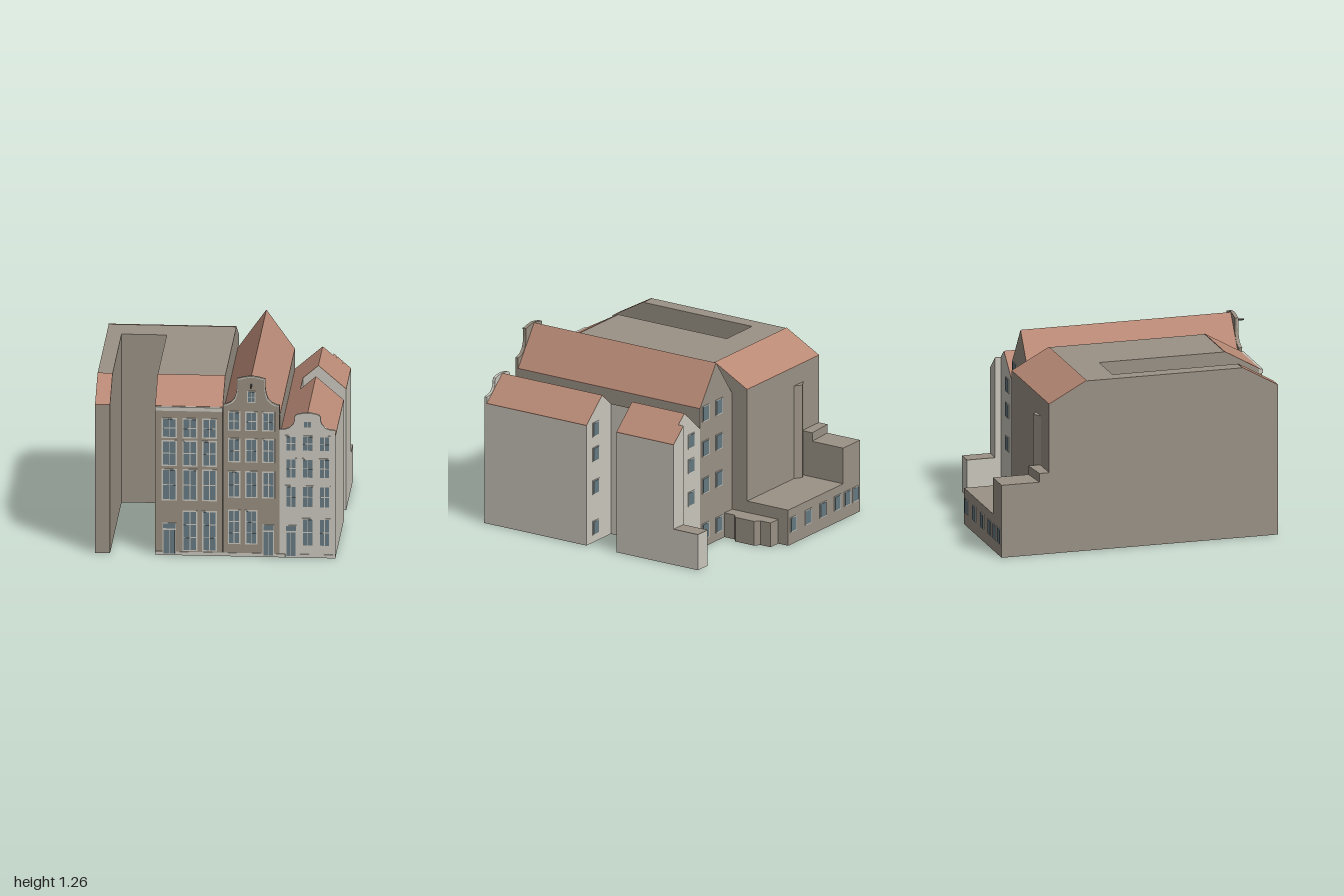
import * as THREE from 'three';

const mat = (name, color) => Object.assign(new THREE.MeshStandardMaterial({ color }), { name });

export function createModel() {
  const taupe = mat('taupe wall', 0x9b9286);
  const brick = mat('warm brick facade', 0x998e7f);
  const beige = mat('pale plaster', 0xcac7bc);
  const tile = mat('terracotta tile', 0xb98a76);
  const glass = mat('blue grey glass', 0x667982);
  const iron = mat('dark iron', 0x4a4a48);

  const model = new THREE.Group();
  model.name = 'canalHouses';
  let parent = model;
  const group = (name) => {
    parent = new THREE.Group();
    parent.name = name;
    model.add(parent);
  };
  const add = (name, geometry, material) => {
    const mesh = new THREE.Mesh(geometry, material);
    mesh.name = name;
    parent.add(mesh);
  };
  const box = (name, m, x0, x1, y0, y1, z0, z1) => {
    const g = new THREE.BoxGeometry(x1 - x0, y1 - y0, z1 - z0);
    add(name, g.translate((x0 + x1) / 2, (y0 + y1) / 2, (z0 + z1) / 2), m);
  };
  const extrude = (pts, depth) => new THREE.ExtrudeGeometry(
    new THREE.Shape(pts.map(([a, b]) => new THREE.Vector2(a, b))), { depth, bevelEnabled: false });
  // Profiles swept along each axis: (x,y) along z, (z,y) along x, (x,z) along y
  const alongZ = (name, m, pts, z0, z1) => add(name, extrude(pts, z1 - z0).translate(0, 0, z0), m);
  const alongX = (name, m, pts, x0, x1) =>
    add(name, extrude(pts.map(([z, y]) => [-z, y]), x1 - x0).rotateY(Math.PI / 2).translate(x0, 0, 0), m);
  const alongY = (name, m, pts, y0, y1) =>
    add(name, extrude(pts.map(([x, z]) => [x, -z]), y1 - y0).rotateX(-Math.PI / 2).translate(0, y0, 0), m);
  // Thin tile layer over a sloping line a-b
  const slope = (a, b, t = 0.004) => [a, b, [b[0], b[1] + t], [a[0], a[1] + t]];

  // Window: thin frame plate with a grid of panes; dir is the facing along z
  const windowAt = (x, y0, y1, w, z, dir = 1, cols = 2, rows = 2, border = 0.009, bar = 0.006) => {
    const plate = (name, m, xa, xb, ya, yb, d0, d1) =>
      box(name, m, xa, xb, ya, yb, Math.min(z + dir * d0, z + dir * d1), Math.max(z + dir * d0, z + dir * d1));
    plate('windowFrame', beige, x - w / 2, x + w / 2, y0, y1, -0.002, 0.004);
    const pw = (w - 2 * border - (cols - 1) * bar) / cols;
    const ph = (y1 - y0 - 2 * border - (rows - 1) * bar) / rows;
    for (let i = 0; i < cols; i++) for (let j = 0; j < rows; j++) {
      const xa = x - w / 2 + border + i * (pw + bar), ya = y0 + border + j * (ph + bar);
      plate('windowPane', glass, xa, xa + pw, ya, ya + ph, 0, 0.006);
    }
  };
  const door = (x, w, z) => {
    box('doorFrame', beige, x - w / 2, x + w / 2, 0, 0.225, z - 0.002, z + 0.006);
    box('fanlight', glass, x - w / 2 + 0.004, x + w / 2 - 0.004, 0.187, 0.22, z, z + 0.008);
    for (const s of [-1, 1]) {
      const c = x + s * w * 0.22;
      box('doorPanel', glass, c - w * 0.19, c + w * 0.19, 0.012, 0.175, z, z + 0.008);
    }
  };
  const mirror = (half, cx) => [
    ...half.map(([d, y]) => [cx + d, y]),
    ...half.filter(([d]) => d > 0).reverse().map(([d, y]) => [cx - d, y])];

  const F = 0.93; // facade plane

  // Large flat-topped house with a slot open to the front
  group('largeHouse');
  const fullSide = [[-0.67, 0], [0.92, 0], [0.92, 1.03], [0.67, 1.172], [-0.41, 1.172], [-0.67, 1.03]];
  alongX('sideWing', taupe, fullSide, -0.8, -0.7);
  alongX('rearBlock', taupe, [[-0.67, 0], [-0.2, 0], [-0.2, 1.172], [-0.41, 1.172], [-0.67, 1.03]], -0.7, -0.4);
  alongX('mainBlock', taupe, fullSide, -0.4, 0.05);
  alongX('rearRoof', tile, slope([-0.67, 1.03], [-0.41, 1.172]), -0.8, 0.05);
  for (const [a, b] of [[-0.8, -0.7], [-0.4, 0.05]])
    alongX('frontRoof', tile, slope([0.67, 1.172], [0.92, 1.03]), a, b);
  box('facade', brick, -0.4, 0.05, 0, 1.005, 0.915, F);
  box('cornice', beige, -0.4, 0.05, 1.005, 1.032, 0.91, F + 0.008);
  for (const x of [-0.305, -0.168, -0.037]) {
    windowAt(x, 0.815, 0.955, 0.1, F);
    windowAt(x, 0.62, 0.8, 0.1, F);
    windowAt(x, 0.38, 0.6, 0.1, F, 1, 2, 2);
    if (x > -0.3) windowAt(x, 0.03, 0.312, 0.1, F, 1, 2, 3);
  }
  door(-0.305, 0.09, F);

  // Low rear annexes, pilaster and bay
  group('rearAnnex');
  box('lowAnnex', taupe, -0.6, 0.05, 0, 0.25, -1, -0.67);
  box('cornerAnnex', taupe, -0.8, -0.6, 0, 0.5, -1, -0.67);
  alongY('annexStep', taupe, [[-0.8, -0.67], [-0.8, -0.737], [-0.6, -0.752], [-0.6, -0.67]], 0.5, 0.56);
  alongY('pilaster', taupe, [[-0.615, -0.67], [-0.553, -0.705], [-0.505, -0.67]], 0.25, 0.9);
  alongY('bay', taupe, [[0.05, -0.92], [0.14, -0.92], [0.14, -0.84], [0.175, -0.81],
    [0.175, -0.66], [0.14, -0.63], [0.14, -0.55], [0.05, -0.55]], 0, 0.17);
  for (const x of [-0.745, -0.648, -0.53, -0.36, -0.185, -0.01])
    windowAt(x, 0.085, 0.19, 0.075, -1, -1, 1, 1, 0.006);

  // Middle house with the bell gable
  group('middleHouse');
  alongZ('body', taupe, [[0.05, 0], [0.43, 0], [0.43, 0.98], [0.24, 1.248], [0.05, 0.98]], -0.55, 0.915);
  alongZ('roofRight', tile, slope([0.05, 0.98], [0.24, 1.248]), -0.55, 0.915);
  alongZ('roofLeft', tile, slope([0.24, 1.248], [0.43, 0.98]), -0.55, 0.915);
  const bell = [[0.188, 1.056], [0.165, 1.06], [0.135, 1.075], [0.112, 1.1], [0.099, 1.14],
    [0.094, 1.18], [0.094, 1.237], [0.05, 1.249], [0, 1.256]];
  alongZ('bellGable', brick, mirror([[0.188, 0], ...bell], 0.241), 0.91, F);
  const inner = bell.map(([d, y]) => [Math.max(0, d - 0.007), y - 0.008]);
  alongZ('coping', beige, [...mirror(bell, 0.241), ...mirror(inner, 0.241).reverse()], F, F + 0.004);
  for (const x of [0.127, 0.241, 0.355]) {
    windowAt(x, 0.875, 1.01, 0.084, F);
    windowAt(x, 0.655, 0.822, 0.084, F);
    windowAt(x, 0.408, 0.595, 0.084, F);
    if (x < 0.3) windowAt(x, 0.085, 0.325, 0.084, F, 1, 2, 3);
  }
  windowAt(0.241, 1.072, 1.152, 0.054, F, 1, 2, 2, 0.006, 0.004);
  door(0.355, 0.075, F);
  box('hoistBeam', iron, 0.236, 0.246, 1.19, 1.2, 0.92, 1);
  for (const x of [0.365, 0.205]) for (const y of [0.935, 0.69, 0.43, 0.11])
    windowAt(x, y - 0.055, y + 0.055, 0.08, -0.55, -1, 1, 1, 0.006);

  // Small pale house, notched on its outer side
  group('paleHouse');
  const RX = 0.615, RY = 1, EY = 0.84, NX = 0.513;
  const ny = EY + (RY - EY) * (NX - 0.43) / (RX - 0.43);
  for (const [a, b] of [[-0.55, -0.13], [0.11, 0.915]]) {
    alongZ('body', beige, [[0.43, 0], [0.8, 0], [0.8, EY], [RX, RY], [0.43, EY]], a, b);
    alongZ('roofRight', tile, slope([0.43, EY], [RX, RY]), a, b);
    alongZ('roofLeft', tile, slope([RX, RY], [0.8, EY]), a, b);
  }
  alongZ('notchBody', beige, [[0.43, 0], [NX, 0], [NX, ny], [0.43, EY]], -0.13, 0.11);
  alongZ('notchRoof', tile, slope([0.43, EY], [NX, ny]), -0.13, 0.11);
  alongZ('rearProjection', beige, [[0.685, 0], [0.8, 0], [0.8, EY], [0.685, 0.94]], -0.59, -0.55);
  alongZ('rearProjectionRoof', tile, slope([0.685, 0.94], [0.8, EY]), -0.59, -0.55);
  box('rearAnnex', beige, 0.685, 0.8, 0, 0.247, -0.785, -0.59);
  box('rearAnnexRoof', taupe, 0.685, 0.8, 0.247, 0.251, -0.785, -0.59);
  const neck = [[0.185, 0], [0.185, 0.888], [0.15, 0.891], [0.12, 0.902], [0.098, 0.925], [0.088, 0.95],
    [0.088, 0.975], [0.08, 0.99], [0.06, 0.998], [0.03, 1.004], [0, 1.006]];
  alongZ('neckGable', beige, mirror(neck, RX), 0.91, F);
  for (const x of [0.505, 0.617, 0.729]) {
    windowAt(x, 0.738, 0.85, 0.078, F);
    windowAt(x, 0.55, 0.692, 0.078, F);
    windowAt(x, 0.345, 0.502, 0.078, F);
    if (x > 0.6) windowAt(x, 0.078, 0.275, 0.078, F);
  }
  windowAt(RX, 0.903, 0.953, 0.058, F, 1, 2, 1, 0.006, 0.004);
  door(0.505, 0.075, F);
  for (const y of [0.79, 0.615, 0.385, 0.1]) {
    windowAt(0.535, y - 0.05, y + 0.05, 0.075, -0.55, -1, 1, 1, 0.006);
    windowAt(0.69, y - 0.05, y + 0.05, 0.075, 0.11, -1, 1, 1, 0.006);
  }

  // Plinth strips between the doors
  group('plinth');
  for (const [a, b] of [[-0.4, -0.35], [-0.26, 0.317], [0.393, 0.467], [0.543, 0.8]])
    box('plinthStrip', beige, a, b, 0, 0.024, F - 0.01, F + 0.004);

  return model;
}
